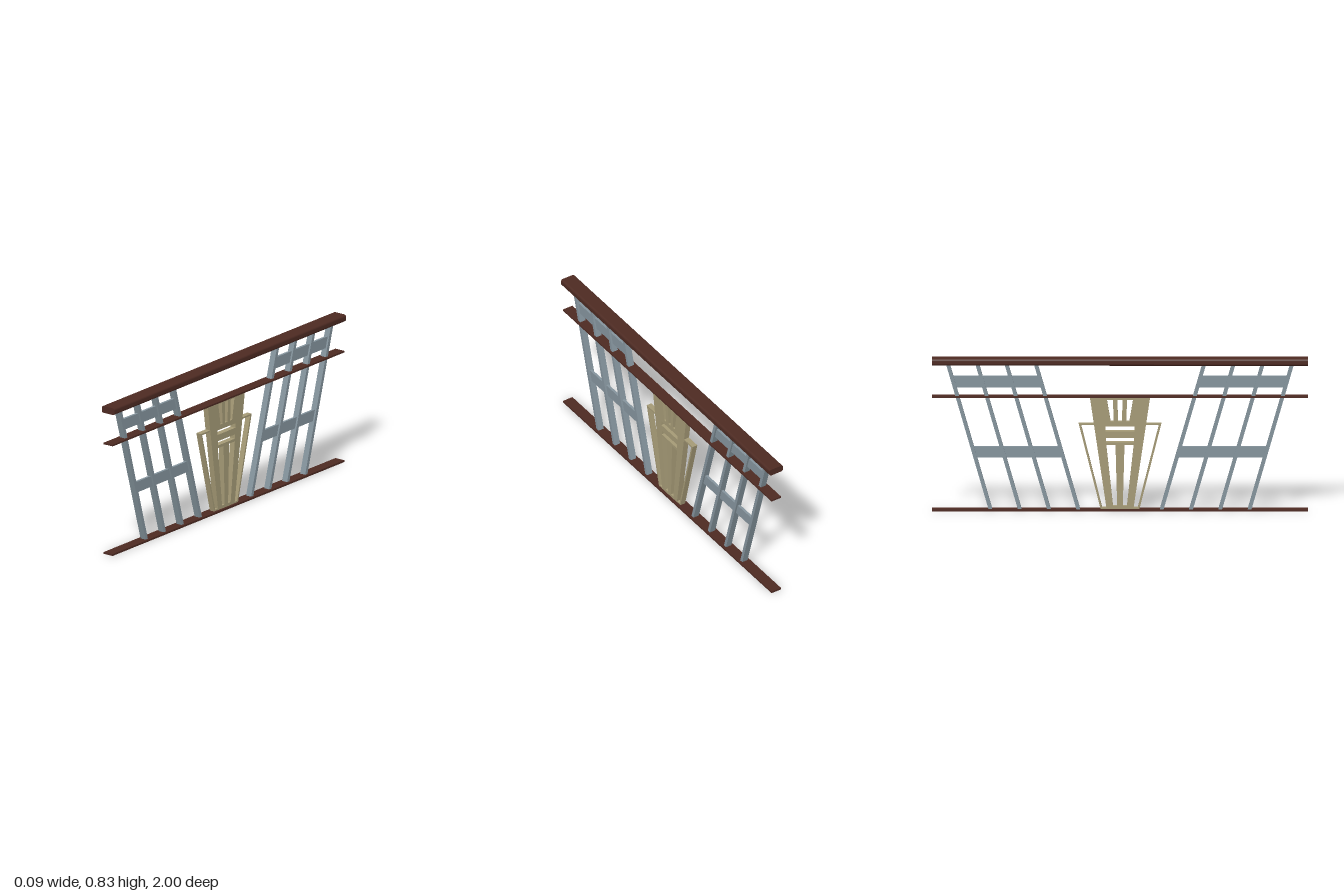
import * as THREE from 'three';

const rust = new THREE.MeshStandardMaterial({ color: 0x4d2a22 });
rust.name = 'dark brown';
const steel = new THREE.MeshStandardMaterial({ color: 0x85949d });
steel.name = 'blue grey';
const brass = new THREE.MeshStandardMaterial({ color: 0xa59a76 });
brass.name = 'dull gold';

const vec = (pts) => pts.map(([z, y]) => new THREE.Vector2(z, y));

// Flat plate drawn in the (z, y) plane, centred on x = 0
function plate(name, outline, depth, material, holes = []) {
  const shape = new THREE.Shape(vec(outline));
  for (const h of holes) shape.holes.push(new THREE.Path(vec(h)));
  const geo = new THREE.ExtrudeGeometry(shape, { depth, bevelEnabled: false });
  geo.translate(0, 0, -depth / 2);
  geo.rotateY(-Math.PI / 2);
  const mesh = new THREE.Mesh(geo, material);
  mesh.name = name;
  return mesh;
}

const flip = (pts) => pts.map(([z, y]) => [-z, y]);

function box(name, w, y0, y1) {
  const mesh = new THREE.Mesh(new THREE.BoxGeometry(w, y1 - y0, 2), rust);
  mesh.position.y = (y0 + y1) / 2;
  mesh.name = name;
  return mesh;
}

// Handrail: rounded section run along z
function handrail() {
  const w = 0.043, y0 = 0.79, y1 = 0.828, r = 0.012;
  const s = new THREE.Shape();
  s.moveTo(-w + r, y0);
  s.lineTo(w - r, y0);
  s.absarc(w - r, y0 + r, r, -Math.PI / 2, 0);
  s.absarc(w - r, y1 - r, r, 0, Math.PI / 2);
  s.absarc(-w + r, y1 - r, r, Math.PI / 2, Math.PI);
  s.absarc(-w + r, y0 + r, r, Math.PI, Math.PI * 1.5);
  const geo = new THREE.ExtrudeGeometry(s, { depth: 2, bevelEnabled: false, curveSegments: 4 });
  geo.translate(0, 0, -1);
  const mesh = new THREE.Mesh(geo, rust);
  mesh.name = 'handrail';
  return mesh;
}

export function createModel() {
  const model = new THREE.Group();
  model.name = 'railing';
  model.add(handrail(), box('middleRail', 0.06, 0.614, 0.623), box('bottomRail', 0.06, 0, 0.01));

  // Leaning balusters and their cross bands, mirrored front to back
  const bottom = 0.01, top = 0.792, lean = 0.225, half = 0.01;
  const leanAt = (y) => lean * (y - bottom) / (top - bottom);
  for (const side of [1, -1]) {
    const group = new THREE.Group();
    group.name = side > 0 ? 'frontBalusters' : 'backBalusters';
    const put = (pts) => (side > 0 ? pts : flip(pts));
    for (const z of [0.222, 0.378, 0.533, 0.689]) {
      group.add(plate('baluster', put([
        [z - half, bottom], [z + half, bottom], [z + lean + half, top], [z + lean - half, top],
      ]), 0.034, steel));
    }
    for (const [y0, y1] of [[0.288, 0.348], [0.668, 0.729]]) {
      group.add(plate('crossBand', put([
        [0.222 + leanAt(y0), y0], [0.689 + leanAt(y0), y0],
        [0.689 + leanAt(y1), y1], [0.222 + leanAt(y1), y1],
      ]), 0.014, steel));
    }
    model.add(group);
  }

  // Central tapered panel with cut slots
  const topSlot = [[0.033, 0.484], [0.05, 0.484], [0.07, 0.602], [0.038, 0.602]];
  const longSlot = [[0.015, 0.027], [0.037, 0.027], [0.073, 0.357], [0.024, 0.357]];
  const slot = (w, y0, y1) => [[-w, y0], [w, y0], [w, y1], [-w, y1]];
  const panel = new THREE.Group();
  panel.name = 'centrePanel';
  panel.add(plate('panel', [[-0.071, 0.01], [0.071, 0.01], [0.16, 0.615], [-0.16, 0.615]], 0.032, brass, [
    topSlot, flip(topSlot), [[-0.011, 0.484], [0.011, 0.484], [0.013, 0.602], [-0.013, 0.602]],
    longSlot, flip(longSlot),
    slot(0.078, 0.432, 0.457), slot(0.074, 0.372, 0.396),
  ]));

  // Thin open frames beside the panel
  const wing = [
    [0.071, 0.01], [0.103, 0.01], [0.22, 0.474], [0.137, 0.474],
    [0.136, 0.465], [0.207, 0.465], [0.095, 0.018], [0.072, 0.018],
  ];
  panel.add(plate('sideFrame', wing, 0.03, brass), plate('sideFrame', flip(wing), 0.03, brass));
  model.add(panel);
  return model;
}
